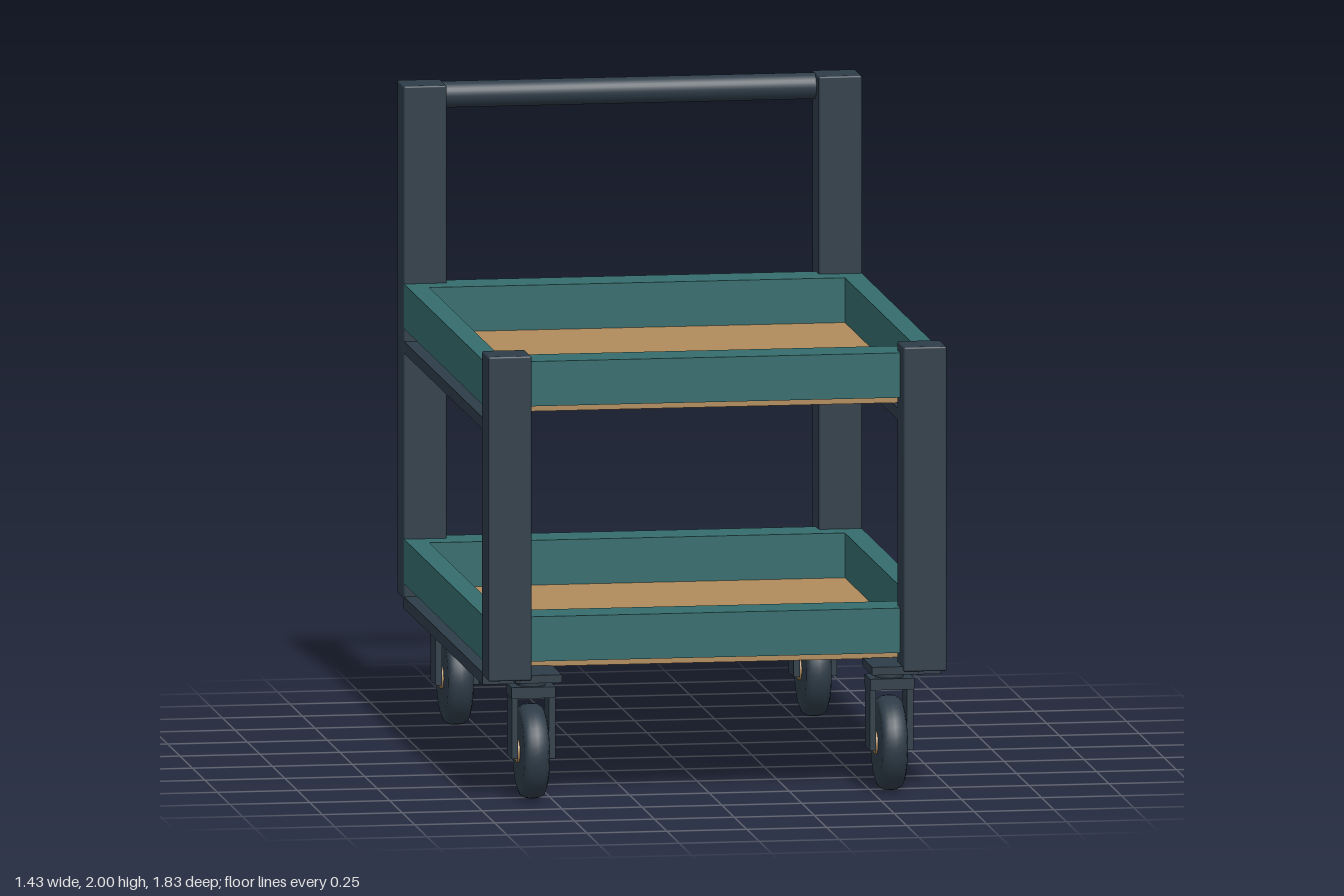
import * as THREE from 'three';
import { RoundedBoxGeometry } from 'three/addons/geometries/RoundedBoxGeometry.js';

const slate = new THREE.MeshStandardMaterial({ color: 0x2e3c48 });
slate.name = 'slate metal';
const teal = new THREE.MeshStandardMaterial({ color: 0x346b6c });
teal.name = 'teal rim';
const tan = new THREE.MeshStandardMaterial({ color: 0xb18b5c });
tan.name = 'tan board';

function add(parent, name, geometry, material, x = 0, y = 0, z = 0) {
  const mesh = new THREE.Mesh(geometry, material);
  mesh.name = name;
  mesh.position.set(x, y, z);
  parent.add(mesh);
  return mesh;
}

// Box given by its low and high limits on each axis
function box(parent, name, material, [x0, x1], [y0, y1], [z0, z1], bevel = 0) {
  const size = [x1 - x0, y1 - y0, z1 - z0];
  const geometry = bevel ? new RoundedBoxGeometry(...size, 2, bevel) : new THREE.BoxGeometry(...size);
  return add(parent, name, geometry, material, (x0 + x1) / 2, (y0 + y1) / 2, (z0 + z1) / 2);
}

// Swivel caster; sx and sz choose the corner
function makeCaster(sx, sz) {
  const caster = new THREE.Group();
  caster.name = 'caster';
  const cx = 0.56 * sx, cz = 0.765 * sz;
  const span = (a, b, s) => (s > 0 ? [a, b] : [-b, -a]);

  box(caster, 'mountingPlate', slate, span(0.485, 0.63, sx), [0.385, 0.41], span(0.71, 0.905, sz));
  add(caster, 'swivel', new THREE.CylinderGeometry(0.045, 0.045, 0.035, 24), slate, cx, 0.37, cz);
  box(caster, 'forkCrown', slate, span(0.492, 0.63, sx), [0.325, 0.36], span(0.708, 0.822, sz));
  for (const side of [-1, 1]) {
    const x = cx + side * 0.058;
    box(caster, 'forkArm', slate, [x - 0.01, x + 0.01], [0.135, 0.34], [cz - 0.048, cz + 0.048]);
  }

  // Tyre with rounded shoulders
  const profile = [[0.001, -0.04], [0.122, -0.04], [0.137, -0.034], [0.146, -0.02], [0.148, 0],
    [0.146, 0.02], [0.137, 0.034], [0.122, 0.04], [0.001, 0.04]].map(p => new THREE.Vector2(...p));
  const wheel = add(caster, 'wheel', new THREE.LatheGeometry(profile, 40), slate, cx, 0.153, cz);
  const hub = add(caster, 'hub', new THREE.CylinderGeometry(0.035, 0.035, 0.094, 24), tan, cx, 0.153, cz);
  wheel.rotation.z = hub.rotation.z = Math.PI / 2;
  return caster;
}

// Board with a raised rim, resting on two side rails
function makeShelf(y) {
  const shelf = new THREE.Group();
  shelf.name = 'shelf';
  const rim = [y + 0.04, y + 0.18];
  box(shelf, 'board', tan, [-0.65, 0.65], [y + 0.002, y + 0.04], [-0.7, 0.7]);
  box(shelf, 'frontRim', teal, [-0.65, 0.65], rim, [0.7, 0.845]);
  box(shelf, 'backRim', teal, [-0.65, 0.65], rim, [-0.845, -0.7]);
  box(shelf, 'leftRim', teal, [0.65, 0.716], rim, [-0.79, 0.79]);
  box(shelf, 'rightRim', teal, [-0.716, -0.65], rim, [-0.79, 0.79]);
  box(shelf, 'leftRail', slate, [0.582, 0.716], [y - 0.037, y], [-0.79, 0.79]);
  box(shelf, 'rightRail', slate, [-0.716, -0.582], [y - 0.037, y], [-0.79, 0.79]);
  return shelf;
}

export function createModel() {
  const cart = new THREE.Group();
  cart.name = 'serviceCart';

  // Corner posts, taller at the back, each with a caster
  for (const sx of [-1, 1]) {
    const x = sx > 0 ? [0.582, 0.717] : [-0.717, -0.582];
    box(cart, 'frontPost', slate, x, [0.395, 1.41], [0.783, 0.917], 0.006);
    box(cart, 'backPost', slate, x, [0.395, 2], [-0.917, -0.783], 0.006);
    cart.add(makeCaster(sx, 1), makeCaster(sx, -1));
  }

  cart.add(makeShelf(0.404), makeShelf(1.202));

  // Push handle between the tall posts
  const handle = add(cart, 'handle', new THREE.CylinderGeometry(0.041, 0.041, 1.2, 32), slate, 0, 1.958, -0.876);
  handle.rotation.z = Math.PI / 2;
  return cart;
}
